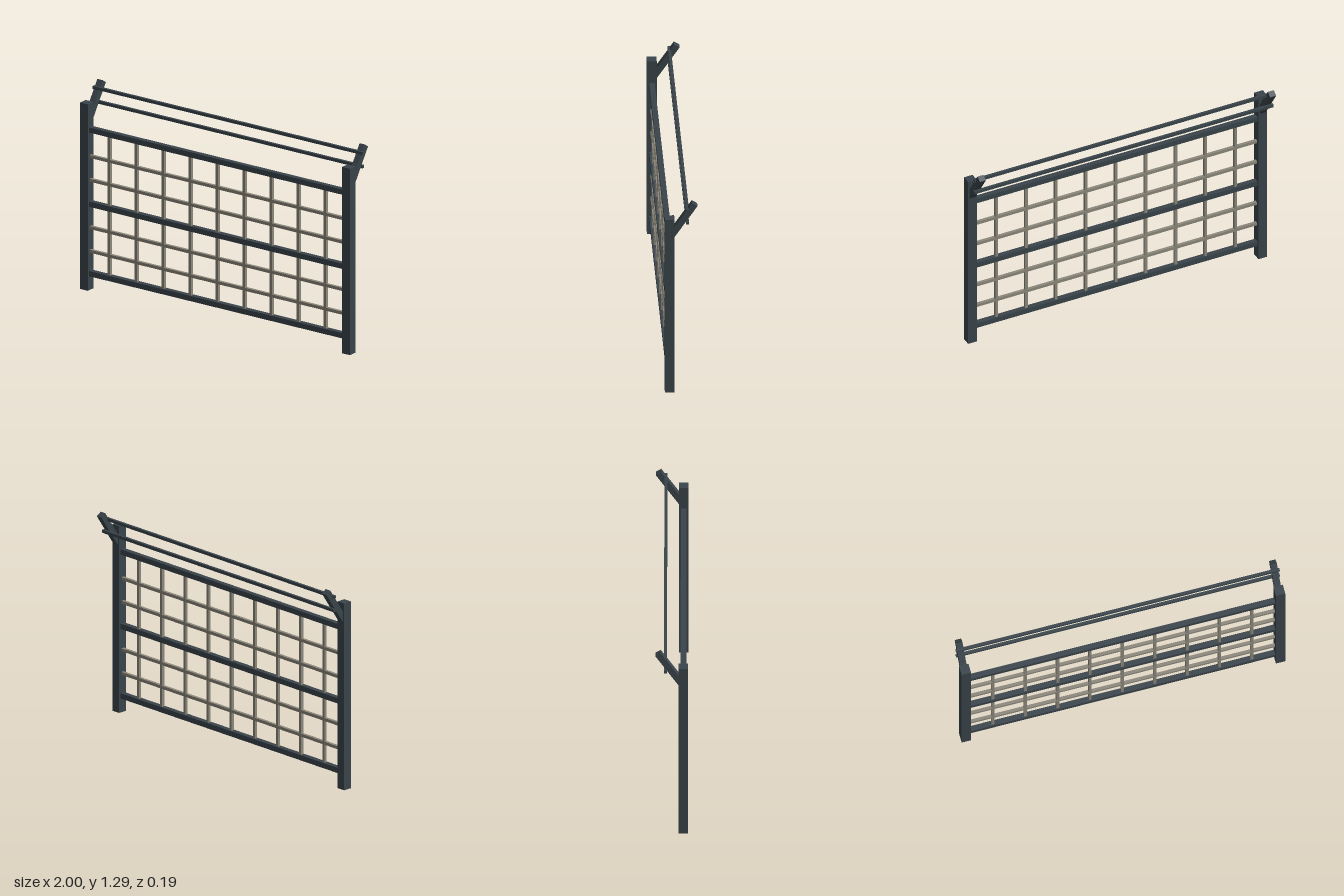
import * as THREE from 'three';

const frameMat = new THREE.MeshStandardMaterial({ color: 0x39444a });
frameMat.name = 'dark slate metal';
const barMat = new THREE.MeshStandardMaterial({ color: 0x8c887c });
barMat.name = 'warm grey metal';

function box(parent, name, mat, size, pos) {
  const mesh = new THREE.Mesh(new THREE.BoxGeometry(...size), mat);
  mesh.name = name;
  mesh.position.set(...pos);
  parent.add(mesh);
  return mesh;
}

export function createModel() {
  const fence = new THREE.Group();
  fence.name = 'fencePanel';
  const z = 0.07; // plane of the panel

  // Posts with arms leaning backwards
  const tilt = 0.585, armLength = 0.25;
  for (const [side, s] of [['left', 1], ['right', -1]]) {
    box(fence, `${side}Post`, frameMat, [0.058, 1.18, 0.058], [s * 0.971, 0.59, z]);
    const arm = box(fence, `${side}Arm`, frameMat, [0.04, armLength, 0.038], [
      s * 0.971,
      1.275 - Math.cos(tilt) * armLength / 2,
      -0.08 + Math.sin(tilt) * armLength / 2,
    ]);
    arm.rotation.x = -tilt;
  }

  // Horizontal rails
  for (const y of [0.105, 0.545, 1.015])
    box(fence, 'rail', frameMat, [1.9, 0.033, 0.033], [0, y, z]);

  // Top rods carried by the arms
  for (const y of [1.155, 1.24])
    box(fence, 'topRod', frameMat, [2, 0.018, 0.018], [0, y, -0.036]);

  // Grid of thin bars
  for (const y of [0.245, 0.395, 0.695, 0.845])
    box(fence, 'horizontalBar', barMat, [1.9, 0.019, 0.019], [0, y, z]);
  for (let i = -4; i <= 4; i++)
    box(fence, 'verticalBar', barMat, [0.018, 0.91, 0.018], [i * 0.2, 0.56, z]);

  return fence;
}
